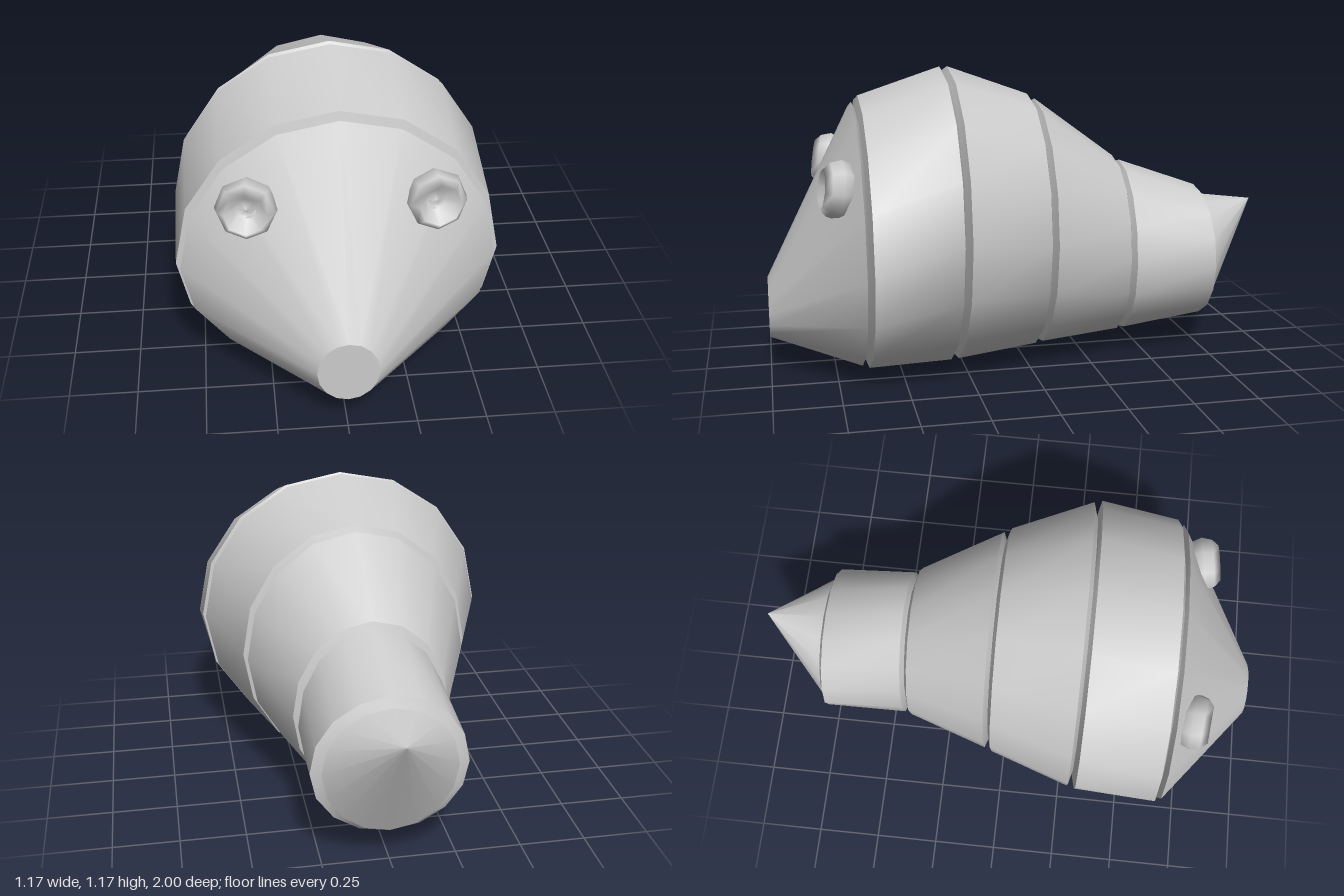
import * as THREE from 'three';

const SIDES = 16;
const material = new THREE.MeshStandardMaterial({ color: 0xcccccc });

// Ring: [z, half width, centre height, top, bottom]. Rings run from back to front.
function loft(name, rings) {
  const positions = [];
  const index = [];
  for (const [z, halfWidth, centre, top, bottom] of rings) {
    for (let j = 0; j < SIDES; j++) {
      const a = (j / SIDES) * Math.PI * 2;
      const c = Math.cos(a);
      const radius = c > 0 ? top - centre : centre - bottom;
      positions.push(halfWidth * Math.sin(a), centre + radius * c, z);
    }
  }
  for (let i = 0; i < rings.length - 1; i++) {
    for (let j = 0; j < SIDES; j++) {
      const k = (j + 1) % SIDES;
      const a = i * SIDES + j, b = i * SIDES + k;
      const c = a + SIDES, d = b + SIDES;
      if (rings[i + 1][1] > 0) index.push(a, c, d);
      if (rings[i][1] > 0) index.push(a, d, b);
      else index.push(a, c, d);
      if (rings[i + 1][1] === 0) index.push(a, c, b);
    }
  }
  const geometry = new THREE.BufferGeometry();
  geometry.setAttribute('position', new THREE.Float32BufferAttribute(positions, 3));
  geometry.setIndex(index);
  geometry.computeVertexNormals();
  const mesh = new THREE.Mesh(geometry, material);
  mesh.name = name;
  return mesh;
}

// Narrowed ring at the bottom of the crease between two segments
function creaseRing(back, front) {
  const mid = back.map((v, i) => (v + front[i]) / 2);
  const narrow = Math.min(back[1], front[1]);
  return [mid[0], narrow * 0.9, mid[2],
    Math.min(back[3], front[3]) - 0.025, Math.max(back[4], front[4]) + 0.03];
}

export function createModel() {
  const group = new THREE.Group();

  // Body segments, back to front, each with its back and front ring
  const segments = [
    ['tailSegment', [-0.75, 0.29, 0.38, 0.66, 0.12], [-0.425, 0.285, 0.4, 0.775, 0.07]],
    ['rearSegment', [-0.395, 0.3, 0.43, 0.795, 0.065], [-0.07, 0.435, 0.53, 1.035, 0.04]],
    ['middleSegment', [-0.04, 0.45, 0.54, 1.055, 0.035], [0.28, 0.575, 0.585, 1.17, 0.005]],
    ['shoulderSegment', [0.31, 0.585, 0.585, 1.17, 0.003], [0.63, 0.585, 0.48, 1.065, 0]],
  ];
  const headBack = [0.655, 0.57, 0.47, 1.04, 0.01];

  segments.forEach(([name, back, front], i) => {
    group.add(loft(name, [back, front]));
    const next = i + 1 < segments.length ? segments[i + 1][1] : headBack;
    const crease = creaseRing(front, next);
    group.add(loft('creaseBackWall', [front, crease]));
    group.add(loft('creaseFrontWall', [crease, next]));
  });

  // Pointed tail end with a small step at its base
  const tailBase = [-0.765, 0.25, 0.38, 0.62, 0.13];
  group.add(loft('tailStep', [tailBase, segments[0][1]]));
  group.add(loft('tailTip', [[-1, 0, 0.59, 0.59, 0.59], tailBase]));

  // Tapered head with a blunt nose
  const nose = [1, 0.11, 0.24, 0.36, 0.12];
  group.add(loft('head', [headBack, nose]));
  group.add(loft('nose', [nose, [1, 0, 0.24, 0.24, 0.24]]));

  // Cupped eyes with a small raised pupil
  const profile = [[0, -0.1], [0.085, -0.08], [0.112, -0.01], [0.1, 0.03], [0.075, 0.055],
    [0.035, -0.005], [0, 0.01]].map(([r, h]) => new THREE.Vector2(r, h));
  const eyeGeometry = new THREE.LatheGeometry(profile, 8);
  eyeGeometry.rotateX(Math.PI / 2);
  for (const side of [-1, 1]) {
    const eye = new THREE.Mesh(eyeGeometry, material);
    eye.name = side > 0 ? 'leftEye' : 'rightEye';
    eye.position.set(side * 0.328, 0.762, 0.74);
    eye.rotation.set(-0.12, side * 0.12, 0);
    group.add(eye);
  }
  return group;
}
